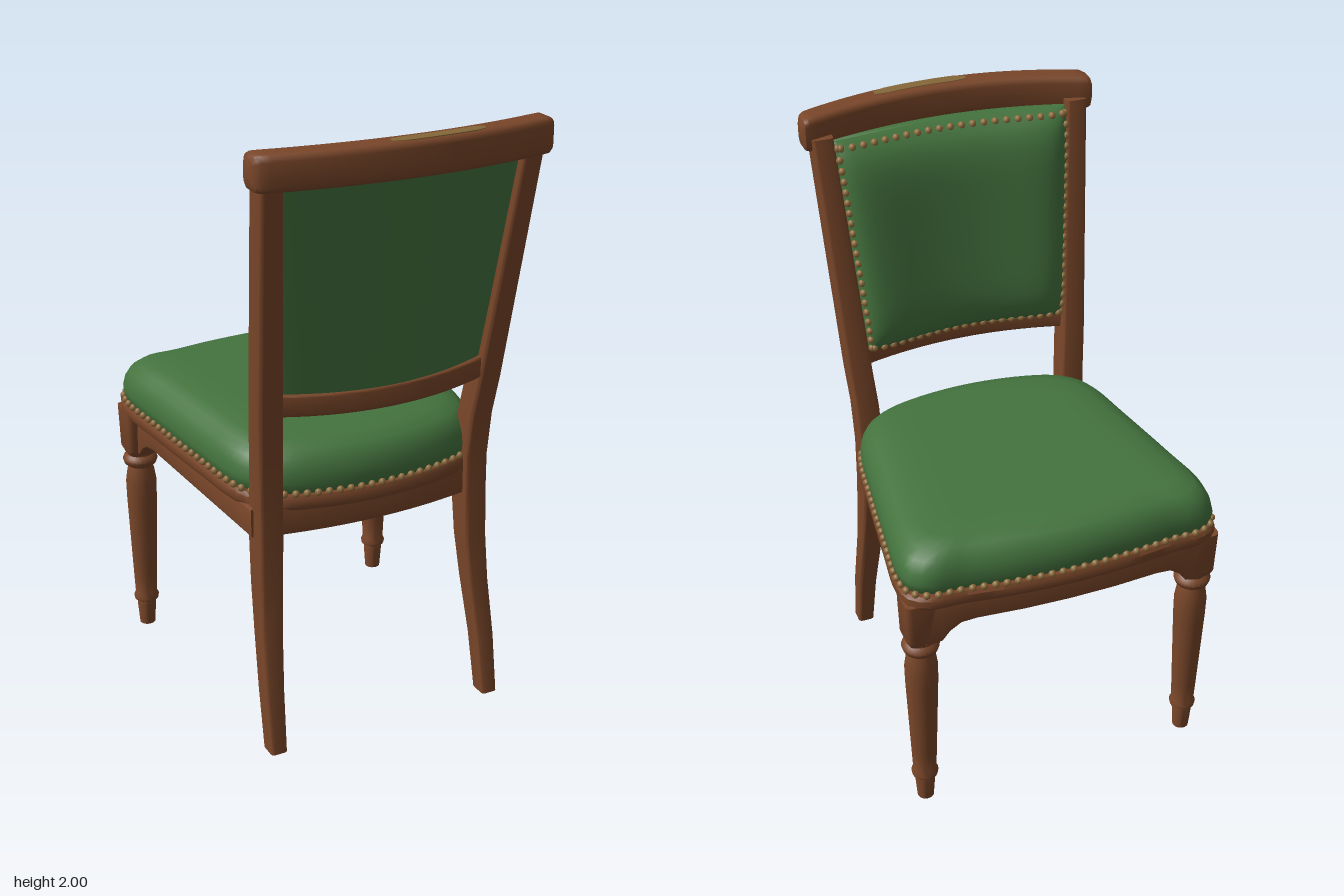
import * as THREE from 'three';
import { mergeGeometries, toCreasedNormals } from 'three/addons/utils/BufferGeometryUtils.js';

const V = (x, y, z) => new THREE.Vector3(x, y, z);

// Skin a list of equal-length rings, capped at both ends, always facing outwards
function loft(rings, crease = 0.6) {
  const n = rings[0].length, pts = rings.flat(), idx = [];
  const centre = r => r.reduce((a, p) => a.add(p), V(0, 0, 0)).divideScalar(n);
  const last = rings.length - 1, c0 = pts.length;
  pts.push(centre(rings[0]), centre(rings[last]));
  for (let j = 0; j < n; j++) {
    const k = (j + 1) % n;
    for (let i = 0; i < last; i++) {
      const a = i * n + j, b = i * n + k;
      idx.push(a, b, a + n, b, b + n, a + n);
    }
    idx.push(c0, k, j, c0 + 1, last * n + j, last * n + k);
  }
  let volume = 0;
  for (let i = 0; i < idx.length; i += 3) {
    volume += pts[idx[i]].dot(V(0, 0, 0).crossVectors(pts[idx[i + 1]], pts[idx[i + 2]]));
  }
  if (volume < 0) idx.reverse();
  const g = new THREE.BufferGeometry().setFromPoints(pts);
  g.setIndex(idx);
  return toCreasedNormals(g, crease);
}

// Rounded rectangle as 2D points
function roundRect(ha, hb, r) {
  const out = [];
  [[1, 1], [-1, 1], [-1, -1], [1, -1]].forEach(([sa, sb], q) => {
    for (let i = 0; i <= 3; i++) {
      const t = (q + i / 3) * Math.PI / 2;
      out.push([sa * (ha - r) + r * Math.cos(t), sb * (hb - r) + r * Math.sin(t)]);
    }
  });
  return out;
}
const ringXZ = (x, y, z, hx, hz, r = 0.012) => roundRect(hx, hz, r).map(([a, b]) => V(x + a, y, z + b));
const ringXY = (x, y, z, hx, hy, r = 0.008) => roundRect(hx, hy, r).map(([a, b]) => V(x + a, y + b, z));
const ringZY = (x, y, z, hz, hy, r = 0.008) => roundRect(hz, hy, r).map(([a, b]) => V(x, y + b, z + a));
const steps = (a, b, n) => Array.from({ length: n + 1 }, (_, i) => a + (b - a) * i / n);

export function createModel() {
  const model = new THREE.Group();
  const material = (name, color) => {
    const m = new THREE.MeshStandardMaterial({ color });
    m.name = name;
    return m;
  };
  const wood = material('wood', 0x794629);
  const fabric = material('green fabric', 0x44733e);
  const brass = material('brass', 0x8f6c3c);
  const worn = material('worn wood', 0x86683a);
  const add = (name, geometry, mat) => {
    const mesh = new THREE.Mesh(geometry, mat);
    mesh.name = name;
    model.add(mesh);
    return mesh;
  };

  // Seat outline: wide bowed front at -z, narrow bowed back at +z
  const half = [[0, -0.622], [0.2, -0.612], [0.36, -0.592], [0.45, -0.588], [0.507, -0.55], [0.523, -0.47],
    [0.502, -0.28], [0.463, 0.02], [0.437, 0.2], [0.41, 0.27], [0.34, 0.335], [0.2, 0.38], [0, 0.4]];
  const loop = [...half, ...half.slice(1, -1).reverse().map(([x, z]) => [-x, z])];
  const outline = new THREE.CatmullRomCurve3(loop.map(([x, z]) => V(x, 0, z)), true, 'centripetal');
  const edge = outline.getSpacedPoints(96).slice(0, 96);
  const tilt = z => 0.838 - 0.045 * z;
  const seatRing = (s, h) => edge.map(p => {
    const z = -0.1 + (p.z + 0.1) * s;
    return V(p.x * s, tilt(z) + h, z);
  });

  add('seatRim', loft([[0.9, -0.024], [0.985, -0.024], [1, -0.012], [1, 0.012], [0.985, 0.024], [0.9, 0.024]]
    .map(a => seatRing(...a))), wood);
  add('seatCushion', loft([[0.95, 0.02], [0.978, 0.035], [0.985, 0.065], [0.972, 0.1], [0.94, 0.135], [0.89, 0.158],
    [0.8, 0.171], [0.65, 0.178], [0.45, 0.178], [0.2, 0.174]].map(a => seatRing(...a)), 1), fabric);
  add('seatUnderside', loft([[0.92, -0.034], [0.92, -0.02]].map(a => seatRing(...a))), fabric);

  // Front legs: turned shaft below a square block
  const profile = [[0, 0], [0.027, 0], [0.033, 0.08], [0.031, 0.092], [0.042, 0.1], [0.044, 0.112], [0.038, 0.125],
    [0.041, 0.2], [0.052, 0.5], [0.053, 0.57], [0.047, 0.61], [0.042, 0.63], [0.055, 0.64], [0.06, 0.655],
    [0.055, 0.668], [0.046, 0.675], [0.047, 0.69], [0, 0.7]].map(p => new THREE.Vector2(...p));
  // Back legs: sabre curve running up into the back posts [y, x, z, half width, half depth]
  const post = [[0, 0.392, 0.421, 0.028, 0.034], [0.2, 0.388, 0.387, 0.032, 0.036], [0.4, 0.377, 0.347, 0.036, 0.039],
    [0.55, 0.37, 0.326, 0.039, 0.044], [0.7, 0.366, 0.316, 0.04, 0.049], [0.85, 0.365, 0.317, 0.04, 0.047],
    [1, 0.37, 0.332, 0.04, 0.045], [1.13, 0.38, 0.355, 0.04, 0.045], [1.92, 0.426, 0.483, 0.035, 0.042]];
  // Side apron lower edge with a bracket curve at the front [z, y]
  const sideEdge = [[0.31, 0.713], [-0.34, 0.75], [-0.39, 0.743], [-0.42, 0.725], [-0.445, 0.695], [-0.48, 0.68]];
  for (const s of [1, -1]) {
    const side = s > 0 ? 'left' : 'right';
    const turned = toCreasedNormals(new THREE.LatheGeometry(profile, 24), 0.7);
    add(side + 'FrontLeg', turned, wood).position.set(s * 0.463, 0, -0.51);
    add(side + 'FrontLegBlock', loft([[0.68, 0.045], [0.7, 0.054], [0.85, 0.058]]
      .map(([y, h]) => ringXZ(s * 0.463, y, -0.51, h, h, 0.02))), wood);
    add(side + 'BackLegAndPost', loft(post.map(([y, x, z, hx, hz]) => ringXZ(s * x, y, z, hx, hz))), wood);
    add(side + 'Apron', loft(sideEdge.map(([z, y]) => {
      const top = tilt(z) - 0.012;
      return ringXY(s * (0.42 - 0.1 * z), (top + y) / 2, z, 0.024, (top - y) / 2);
    })), wood);
  }

  // Front apron with brackets, and back apron
  const frontEdge = [[0.46, 0.68], [0.41, 0.695], [0.385, 0.73], [0.35, 0.757], [0.3, 0.765], [0.15, 0.765]];
  const frontLoop = [...frontEdge.map(([x, y]) => [-x, y]), [0, 0.765], ...[...frontEdge].reverse()];
  add('frontApron', loft(frontLoop.map(([x, y]) =>
    ringZY(x, (0.855 + y) / 2, -0.577 + 0.17 * x * x, 0.022, (0.855 - y) / 2))), wood);
  add('backApron', loft(steps(-0.36, 0.36, 12).map(x => ringZY(x, 0.767, 0.35 - 0.3 * x * x, 0.024, 0.051))), wood);

  // Bowed rails of the back
  const railZ = x => 0.573 - 0.36 * x * x;
  const railY = x => 1.94 - 0.04 * x * x;
  const railXs = [-0.485, -0.478, -0.465, ...steps(-0.44, 0.44, 20), 0.465, 0.478, 0.485];
  add('topRail', loft(railXs.map(x => {
    const k = Math.max(0, Math.abs(x) - 0.46) / 0.025;
    const shrink = 0.018 * (1 - Math.sqrt(1 - k * k));
    return ringZY(x, railY(x), railZ(x), 0.046 - shrink, 0.055 - shrink, 0.02);
  })), wood);
  add('wornPatch', loft(steps(-0.09, 0.22, 8).map((x, i) =>
    ringZY(x, railY(x) + 0.054, railZ(x) + 0.009, i % 8 ? 0.02 : 0.012, 0.003, 0.001))), worn);
  add('lowerRail', loft(steps(-0.36, 0.36, 14).map(x =>
    ringZY(x, 1.167 + 0.06 * x * x, 0.428 - 0.5 * x * x, 0.028, 0.035))), wood);

  // Upholstered back: bowed panel with a padded front face
  const panelPoint = (u, v, front) => {
    const y = 1.19 + 0.71 * v, w = 2 * v - 1;
    const puff = Math.sqrt(Math.max(0, (1 - u ** 6) * (1 - w ** 6)));
    const pad = front ? -0.02 - (0.1 + 0.012 * (1 - u * u)) * puff : 0.012;
    return V(u * (0.342 + 0.052 * v), y, 0.365 + 0.117 * v + 0.07 * (1 - u * u) + pad);
  };
  const across = steps(-1, 1, 32).map(t => Math.sin(t * Math.PI / 2));
  const up = steps(-1, 1, 28).map(t => (Math.sin(t * Math.PI / 2) + 1) / 2);
  add('backUpholstery', loft(up.map(v => [
    ...across.map(u => panelPoint(u, v, true)),
    ...[...across].reverse().map(u => panelPoint(u, v, false)),
  ]), 0.9), fabric);

  // Brass nail heads round the seat and the back
  const studs = points => mergeGeometries(points.map(p =>
    new THREE.SphereGeometry(0.0125, 8, 5).translate(p.x, p.y, p.z)));
  add('seatNails', studs(outline.getSpacedPoints(100).slice(0, 100).map(p => {
    const z = -0.1 + (p.z + 0.1) * 0.983;
    return V(p.x * 0.983, tilt(z) + 0.031, z);
  })), brass);
  const backNails = [];
  for (const t of steps(-0.95, 0.95, 20)) {
    for (const s of [-1, 1]) {
      backNails.push(panelPoint(t, 0.5 + s * 0.475, true), panelPoint(s * 0.975, (t + 1) / 2, true));
    }
  }
  add('backNails', studs(backNails), brass);

  return model;
}
